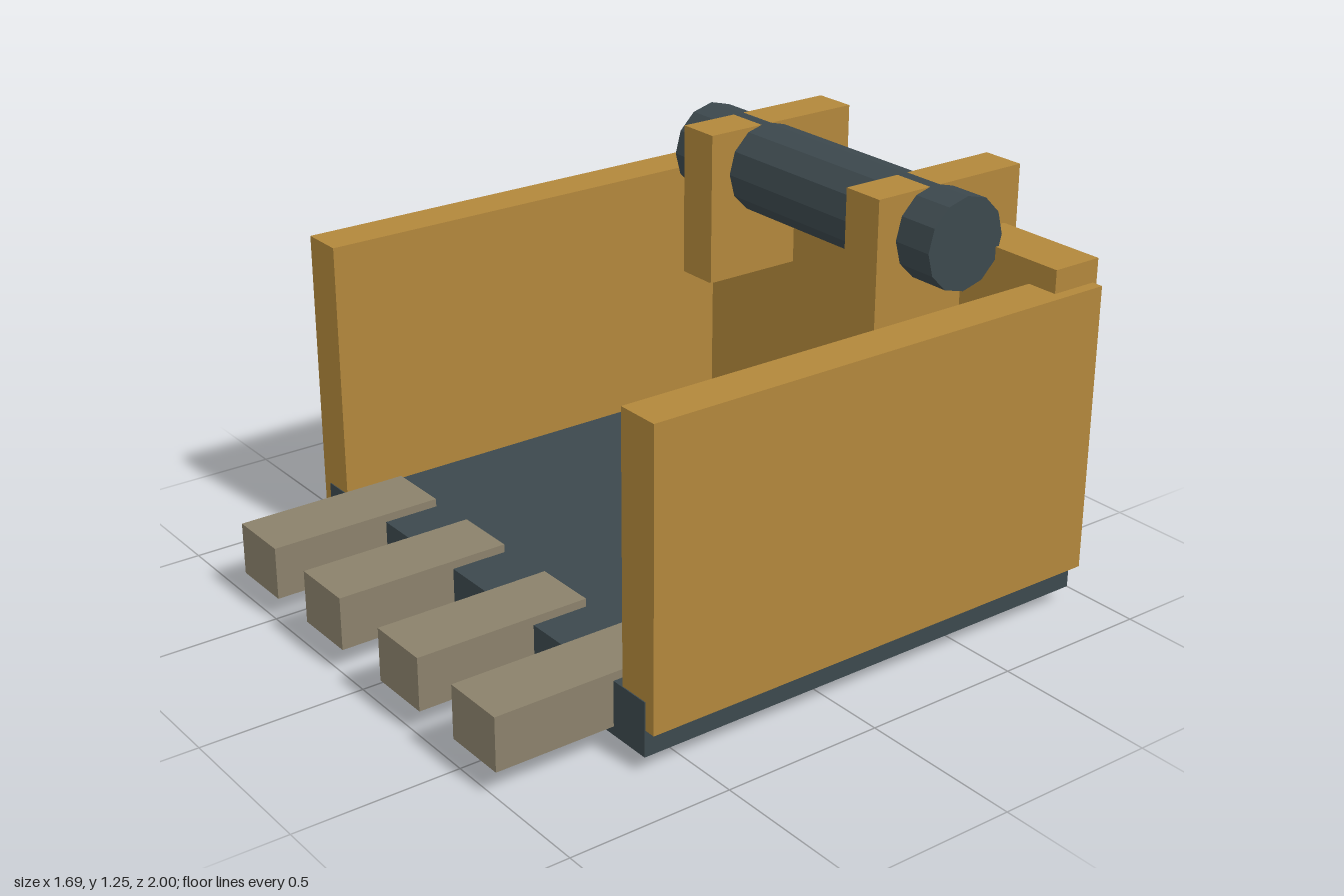
import * as THREE from 'three';

const material = (name, color) => {
  const m = new THREE.MeshStandardMaterial({ color });
  m.name = name;
  return m;
};

export function createModel() {
  const group = new THREE.Group();
  const ochre = material('ochre', 0xb2873b);
  const slate = material('dark slate', 0x3c484d);
  const clay = material('grey brown', 0x8b816b);
  const steel = material('steel grey', 0x6c7372);

  // Box given by its limits along each axis
  const box = (name, mat, [x0, x1], [y0, y1], [z0, z1]) => {
    const mesh = new THREE.Mesh(new THREE.BoxGeometry(x1 - x0, y1 - y0, z1 - z0), mat);
    mesh.position.set((x0 + x1) / 2, (y0 + y1) / 2, (z0 + z1) / 2);
    mesh.name = name;
    group.add(mesh);
  };

  // Floor and walls of the open bucket
  box('floor', slate, [-0.81, 0.81], [0.05, 0.215], [-0.93, 0.63]);
  box('leftWall', ochre, [0.71, 0.845], [0.13, 1.01], [-0.935, 0.627]);
  box('rightWall', ochre, [-0.845, -0.71], [0.13, 1.01], [-0.935, 0.627]);
  box('backWall', ochre, [-0.81, 0.81], [0.13, 1.08], [-0.95, -0.785]);

  // Digging teeth along the front edge
  for (const x of [-0.577, -0.205, 0.203, 0.573])
    box('tooth', clay, [x - 0.101, x + 0.101], [0.077, 0.24], [0.455, 1]);

  // Wear strips under the floor
  for (const x of [-0.543, -0.002, 0.54])
    box('wearStrip', steel, [x - 0.046, x + 0.046], [0, 0.07], [-0.895, 0.32]);

  // Brackets straddling the back wall
  for (const x of [-0.373, 0.372])
    box('bracket', ochre, [x - 0.068, x + 0.068], [0.778, 1.25], [-1, -0.455]);

  // Hinge pin, twelve-sided with an edge on top
  const pinMat = slate.clone();
  pinMat.flatShading = true;
  const pin = new THREE.Mesh(
    new THREE.CylinderGeometry(0.141, 0.141, 1.148, 12), pinMat);
  pin.rotation.z = Math.PI / 2;
  pin.position.set(-0.001, 1.114, -0.665);
  pin.name = 'hingePin';
  group.add(pin);

  return group;
}
